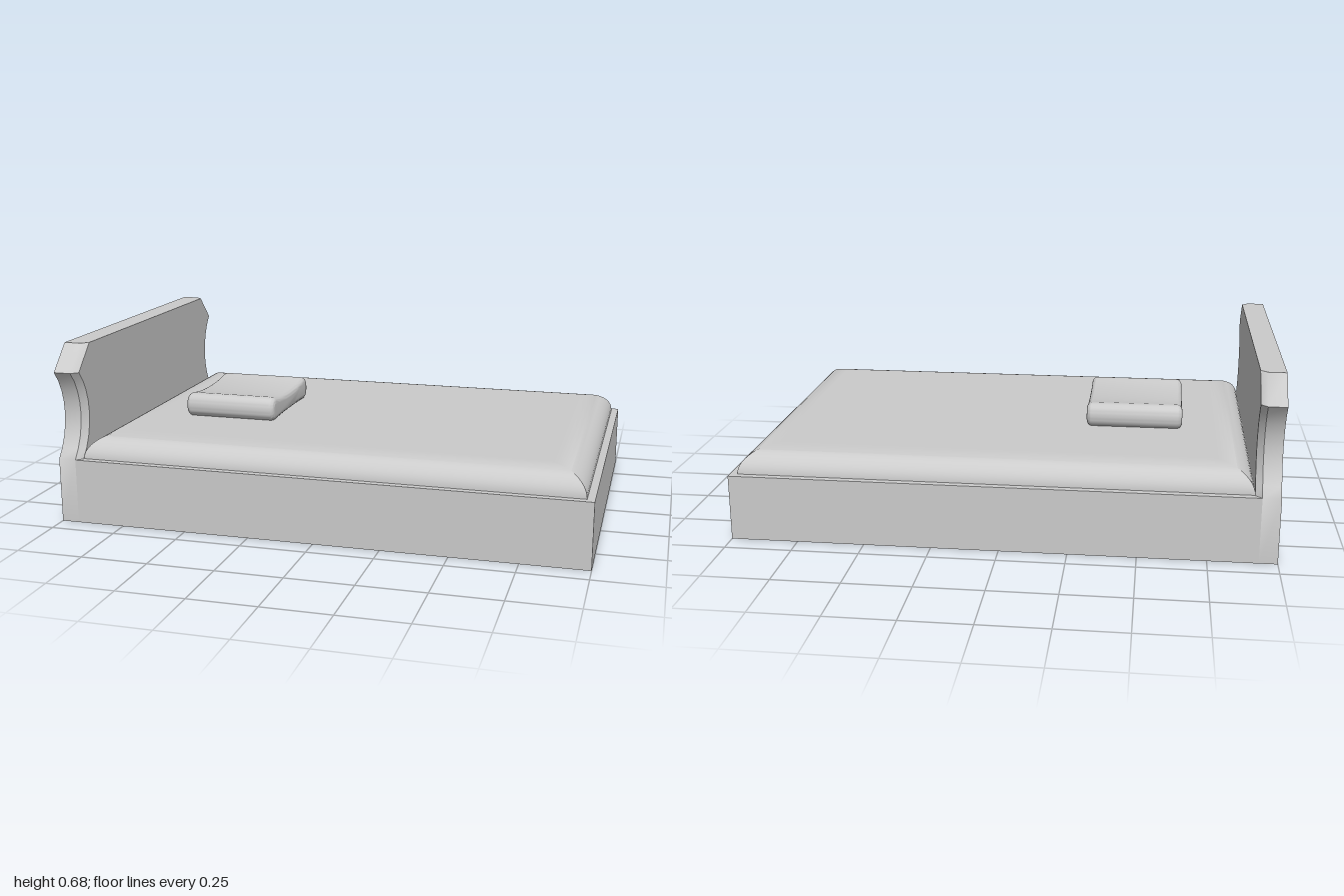
import * as THREE from 'three';
import { toCreasedNormals } from 'three/addons/utils/BufferGeometryUtils.js';

const W = 0.668; // half width of the bed
const RAIL_TOP = 0.247;
const DECK_BOTTOM = 0.133;
const INNER = { x0: -0.91, x1: 0.972, z: 0.641 }; // opening inside the rails

// Skin stacked rings of [x, y, z] points, counter-clockwise from above, with flat caps
function loft(rings, crease) {
  const n = rings[0].length;
  const index = [];
  for (let i = 0; i < rings.length - 1; i++) {
    for (let j = 0; j < n; j++) {
      const a = i * n + j, b = i * n + (j + 1) % n;
      index.push(a, b, b + n, a, b + n, a + n);
    }
  }
  const top = (rings.length - 1) * n;
  for (let j = 1; j < n - 1; j++) {
    index.push(0, j + 1, j, top, top + j, top + j + 1);
  }
  const geometry = new THREE.BufferGeometry();
  geometry.setAttribute('position', new THREE.Float32BufferAttribute(rings.flat(2), 3));
  geometry.setIndex(index);
  return toCreasedNormals(geometry, crease);
}

// Open rectangle of rails; the headboard closes it at the head end
function frameGeometry() {
  const outer = new THREE.Shape();
  outer.moveTo(-0.933, -W).lineTo(1, -W).lineTo(1, W).lineTo(-0.933, W).closePath();
  const hole = new THREE.Path();
  const { x0, x1, z } = INNER;
  hole.moveTo(x0, -z).lineTo(x0, z).lineTo(x1, z).lineTo(x1, -z).closePath();
  outer.holes.push(hole);
  return new THREE.ExtrudeGeometry(outer, { depth: RAIL_TOP, bevelEnabled: false }).rotateX(-Math.PI / 2);
}

// Board down to the floor, with scooped sides, clipped top corners and chamfered front edges
function headboardGeometry() {
  const ring = (y, z) => {
    const f = z - 0.024;
    return [[-1, y, z], [-0.933, y, z], [-0.91, y, f], [-0.91, y, -f], [-0.933, y, -z], [-1, y, -z]];
  };
  const rings = [ring(0, W)];
  const half = 0.167, sag = 0.065, steps = 8;
  const r = (half * half + sag * sag) / (2 * sag);
  const span = Math.asin(half / r);
  for (let i = 0; i <= steps; i++) {
    const a = span * (2 * i / steps - 1);
    rings.push(ring(RAIL_TOP + half + r * Math.sin(a), W + r - sag - r * Math.cos(a)));
  }
  rings.push(ring(0.678, 0.574));
  return loft(rings, 0.67);
}

// Mattress set down between the rails, with rolled top edges meeting in mitred corners
function mattressGeometry() {
  const ring = (y, inset) => {
    const x0 = INNER.x0 + inset, x1 = INNER.x1 - inset, z = INNER.z - inset;
    return [[x0, y, z], [x1, y, z], [x1, y, -z], [x0, y, -z]];
  };
  const rings = [ring(DECK_BOTTOM, 0)];
  const steps = 10;
  for (let i = 0; i <= steps; i++) {
    const a = (i / steps) * Math.PI / 2;
    rings.push(ring(RAIL_TOP + 0.087 * Math.sin(a), 0.115 * (1 - Math.cos(a))));
  }
  rings.push(ring(RAIL_TOP + 0.087, 0.125));
  return loft(rings, 0.6);
}

// Pillow with plump ends, a dipped middle and rolled edges
function pillowGeometry() {
  const s = new THREE.Shape();
  s.moveTo(-0.17, 0);
  s.bezierCurveTo(-0.08, 0.004, 0.08, 0.004, 0.17, 0);
  s.bezierCurveTo(0.205, -0.006, 0.226, 0.012, 0.226, 0.046);
  s.bezierCurveTo(0.226, 0.08, 0.205, 0.099, 0.17, 0.091);
  s.bezierCurveTo(0.08, 0.073, -0.08, 0.073, -0.17, 0.091);
  s.bezierCurveTo(-0.205, 0.099, -0.226, 0.08, -0.226, 0.046);
  s.bezierCurveTo(-0.226, 0.012, -0.205, -0.006, -0.17, 0);
  const bevel = 0.022;
  const geometry = new THREE.ExtrudeGeometry(s, {
    depth: 0.37 - 2 * bevel, curveSegments: 12,
    bevelThickness: bevel, bevelSize: bevel, bevelOffset: -bevel, bevelSegments: 6,
  });
  geometry.rotateY(Math.PI / 2).translate(-0.655 + bevel, 0.331, 0.028);
  return toCreasedNormals(geometry, 0.7);
}

export function createModel() {
  const group = new THREE.Group();
  group.name = 'bed';
  const material = new THREE.MeshStandardMaterial({ color: 0xcccccc });
  const parts = {
    frame: frameGeometry(),
    headboard: headboardGeometry(),
    mattress: mattressGeometry(),
    pillow: pillowGeometry(),
  };
  for (const [name, geometry] of Object.entries(parts)) {
    const mesh = new THREE.Mesh(geometry, material);
    mesh.name = name;
    group.add(mesh);
  }
  return group;
}
